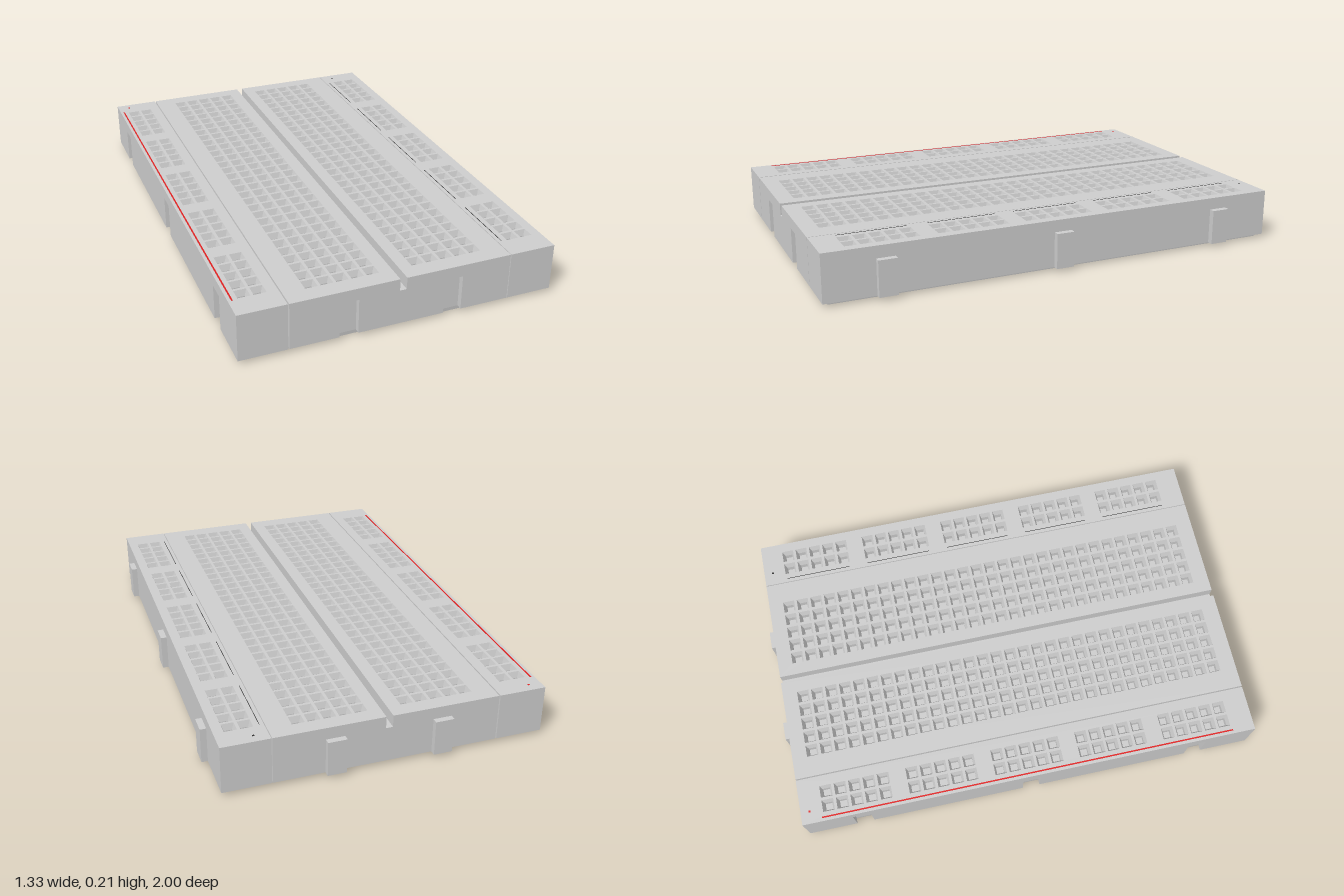
import * as THREE from 'three';
import { mergeGeometries } from 'three/addons/utils/BufferGeometryUtils.js';

const BACK = -0.976, FRONT = 1.0;          // body ends along z
const BOTTOM = 0.014, LEDGE = 0.162, TOP = 0.212;
const PITCH = 0.0618, HOLE = 0.025, SHAFT = 0.016;
const SIDE_Z = [-0.73, 0.012, 0.752], END_X = [-0.232, 0.2], TAB = 0.038;

export function createModel() {
  const model = new THREE.Group();
  model.name = 'solderlessBoard';
  const material = (name, color) => {
    const m = new THREE.MeshStandardMaterial({ color });
    m.name = name;
    return m;
  };
  const plastic = material('light grey plastic', 0xcccccc);
  const backing = material('grey backing', 0xc0c0c0);
  const red = material('red ink', 0xe02020);
  const dark = material('dark ink', 0x303030);

  const add = (name, geometry, mat) => {
    const mesh = new THREE.Mesh(geometry, mat);
    mesh.name = name;
    model.add(mesh);
    return mesh;
  };
  const box = (name, x0, x1, y0, y1, z0, z1, mat) =>
    add(name, new THREE.BoxGeometry(x1 - x0, y1 - y0, z1 - z0), mat)
      .position.set((x0 + x1) / 2, (y0 + y1) / 2, (z0 + z1) / 2);

  // Upright slab from a plan outline of [x, z] points, with square holes
  const slab = (name, outline, y0, y1, holes = []) => {
    const shape = new THREE.Shape(outline.map(([x, z]) => new THREE.Vector2(x, -z)));
    for (const [x, z] of holes) {
      const path = new THREE.Path();
      path.moveTo(x - HOLE, -z - HOLE);
      path.lineTo(x - HOLE, -z + HOLE);
      path.lineTo(x + HOLE, -z + HOLE);
      path.lineTo(x + HOLE, -z - HOLE);
      path.closePath();
      shape.holes.push(path);
    }
    const g = new THREE.ExtrudeGeometry(shape, { depth: y1 - y0, bevelEnabled: false });
    g.rotateX(-Math.PI / 2).translate(0, y0, 0);
    add(name, g, plastic);
  };
  const rect = (x0, x1) => [[x0, FRONT], [x1, FRONT], [x1, BACK], [x0, BACK]];

  // Funnel and shaft lining for one contact hole
  const r = Math.SQRT2;
  let socket = new THREE.LatheGeometry([
    new THREE.Vector2(HOLE * r, TOP),
    new THREE.Vector2(SHAFT * r, TOP - 0.025),
    new THREE.Vector2(SHAFT * r, LEDGE),
  ], 4, Math.PI / 4).toNonIndexed();
  socket.computeVertexNormals();
  const linings = (name, holes) =>
    add(name, mergeGeometries(holes.map(([x, z]) => socket.clone().translate(x, 0, z))), plastic);

  // Hole layouts: five-wide terminal strips, and rails in five groups of 2 x 5
  const terminal = (x0) => {
    const list = [];
    for (let row = 0; row < 30; row++)
      for (let col = 0; col < 5; col++) list.push([x0 + col * PITCH, -0.888 + row * PITCH]);
    return list;
  };
  const rail = (x0) => {
    const list = [];
    for (let group = 0; group < 5; group++)
      for (let row = 0; row < 5; row++)
        for (let col = 0; col < 2; col++)
          list.push([x0 + col * PITCH, -0.857 + (group * 6 + row) * PITCH]);
    return list;
  };

  // Lower body: three blocks, with sockets cut into the -x side and the front
  const railOutline = [[-0.473, FRONT], [-0.473, BACK], [-0.667, BACK]];
  for (const z of SIDE_Z)
    railOutline.push([-0.667, z - TAB], [-0.642, z - TAB], [-0.642, z + TAB], [-0.667, z + TAB]);
  railOutline.push([-0.667, FRONT]);
  slab('rightRailBase', railOutline, BOTTOM, LEDGE);

  const centreOutline = [[-0.468, FRONT]];
  for (const x of END_X)
    centreOutline.push([x - TAB, FRONT], [x - TAB, FRONT - 0.024], [x + TAB, FRONT - 0.024], [x + TAB, FRONT]);
  centreOutline.push([0.443, FRONT], [0.443, BACK], [-0.468, BACK]);
  slab('centreBase', centreOutline, BOTTOM, LEDGE);
  slab('leftRailBase', rect(0.446, 0.639), BOTTOM, LEDGE);

  // Upper body: perforated panels either side of the centre channel
  const panels = [
    ['rightRail', -0.667, -0.473, rail(-0.604)],
    ['rightTerminalStrip', -0.468, -0.028, terminal(-0.355)],
    ['leftTerminalStrip', 0, 0.443, terminal(0.077)],
    ['leftRail', 0.446, 0.639, rail(0.512)],
  ];
  for (const [name, x0, x1, holes] of panels) {
    slab(name, rect(x0, x1), LEDGE, TOP, holes);
    linings(name + 'Holes', holes);
  }

  // Interlocking tabs on the +x side and the back
  for (const z of SIDE_Z) box('sideTab', 0.639, 0.664, BOTTOM, LEDGE, z - TAB, z + TAB, plastic);
  for (const x of END_X) box('backTab', x - TAB, x + TAB, BOTTOM, LEDGE, -1, BACK, plastic);

  // Adhesive backing sheet
  box('backingSheet', -0.642, 0.615, 0, BOTTOM, -0.952, 0.976, backing);

  // Printed rail lines and polarity dots
  const ink = (name, x, z0, z1, width, mat) =>
    box(name, x - width / 2, x + width / 2, TOP, TOP + 0.001, z0, z1, mat);
  ink('redRailLine', -0.651, -0.89, 0.905, 0.006, red);
  ink('redDot', -0.615, -0.942, -0.934, 0.008, red);
  ink('darkDot', 0.503, -0.942, -0.934, 0.008, dark);
  for (let group = 0; group < 5; group++) {
    const z = -0.857 + group * 6 * PITCH;
    ink('darkRailLine', 0.463, z - 0.02, z + 4 * PITCH + 0.02, 0.002, dark);
  }
  return model;
}
